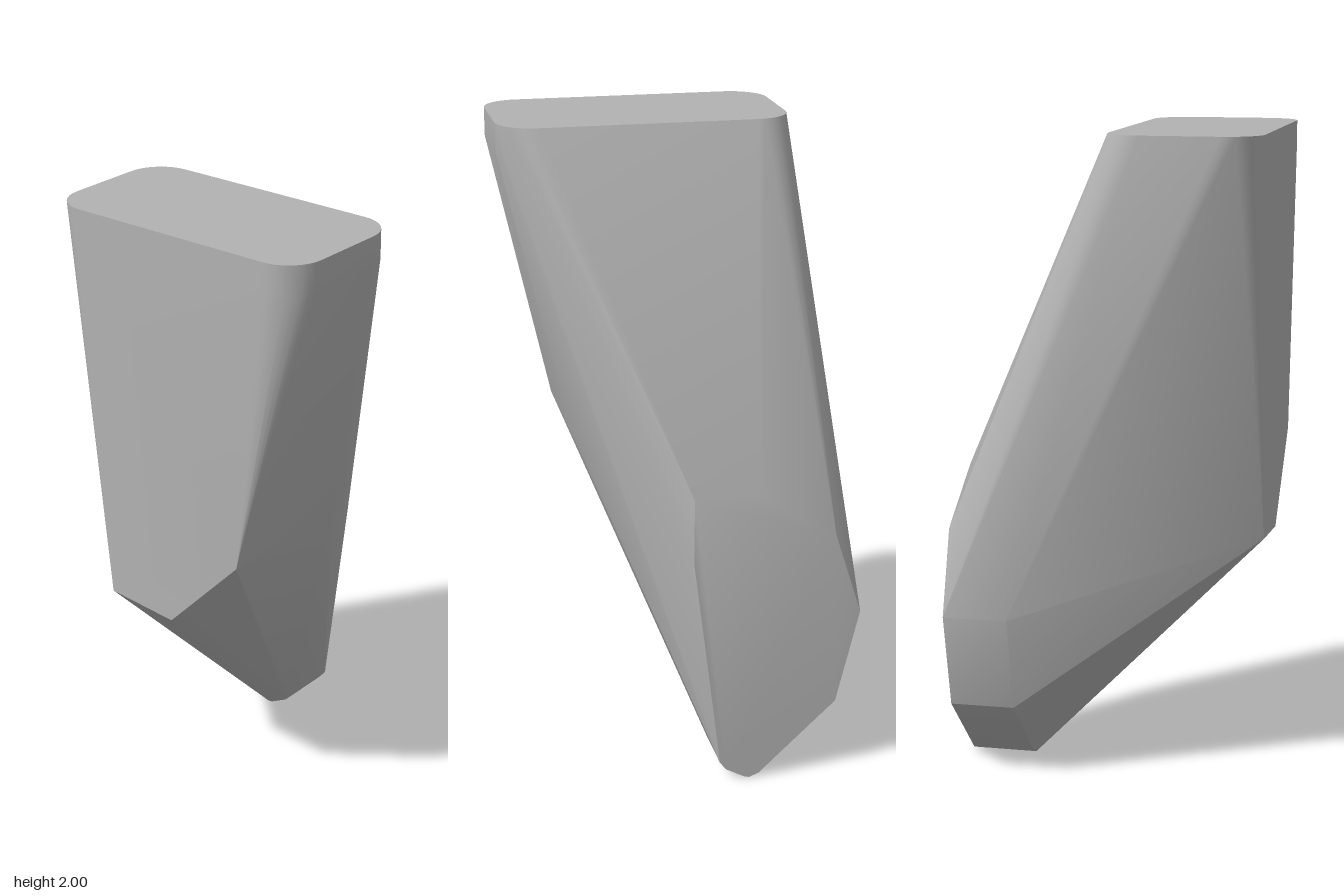
import * as THREE from 'three';
import { toCreasedNormals } from 'three/addons/utils/BufferGeometryUtils.js';
import { ConvexGeometry } from 'three/addons/geometries/ConvexGeometry.js';

export function createModel() {
  const group = new THREE.Group();
  group.name = 'taperedBlock';
  const grey = new THREE.MeshStandardMaterial({ color: 0xb2b2b2 });
  grey.name = 'plain grey';

  const points = [];
  const add = (x, y, z) => points.push(new THREE.Vector3(x, y, z));

  // Rounded corner of the top outline, starting at the given angle
  const radius = 0.115, steps = 8;
  const corner = (cx, cz, start, y) => {
    for (let i = 0; i <= steps; i++) {
      const a = start + (i / steps) * Math.PI / 2;
      add(cx + radius * Math.cos(a), y, cz + radius * Math.sin(a));
    }
  };
  const x0 = -0.47 + radius, x1 = -radius, z0 = -0.4 + radius, z1 = 0.513 - radius;
  corner(x1, z1, 0, 2);
  corner(x0, z1, Math.PI / 2, 2);
  corner(x0, z0, Math.PI, 2);
  corner(x1, z0, Math.PI * 1.5, 2);

  // Short upright rim along the front of the top
  corner(x1, z1, 0, 1.91);
  corner(x0, z1, Math.PI / 2, 1.91);

  // Front bend and the lower corner on the tall side
  add(-0.47, 1.01, 0.3);
  add(0, 1.01, 0.3);
  add(-0.47, 0.74, 0.04);
  add(-0.47, 0.76, -0.2);

  // Upper outline of the flat end face [z, y]
  for (const [z, y] of [[0.015, 0.95], [0.015, 0.74], [-0.19, 0.95], [-0.43, 0.8]]) add(0.47, y, z);

  // Lower outline shared by both ends of the foot [z, y]
  const foot = [[-0.07, 0.06], [-0.09, 0.035], [-0.15, 0.003], [-0.165, 0], [-0.195, 0.012], [-0.44, 0.24], [-0.513, 0.54]];
  for (const [z, y] of foot) {
    add(0.27, y, z);
    add(0.47, y, z);
  }

  const body = new THREE.Mesh(toCreasedNormals(new ConvexGeometry(points), 0.5), grey);
  body.name = 'body';
  group.add(body);
  return group;
}
